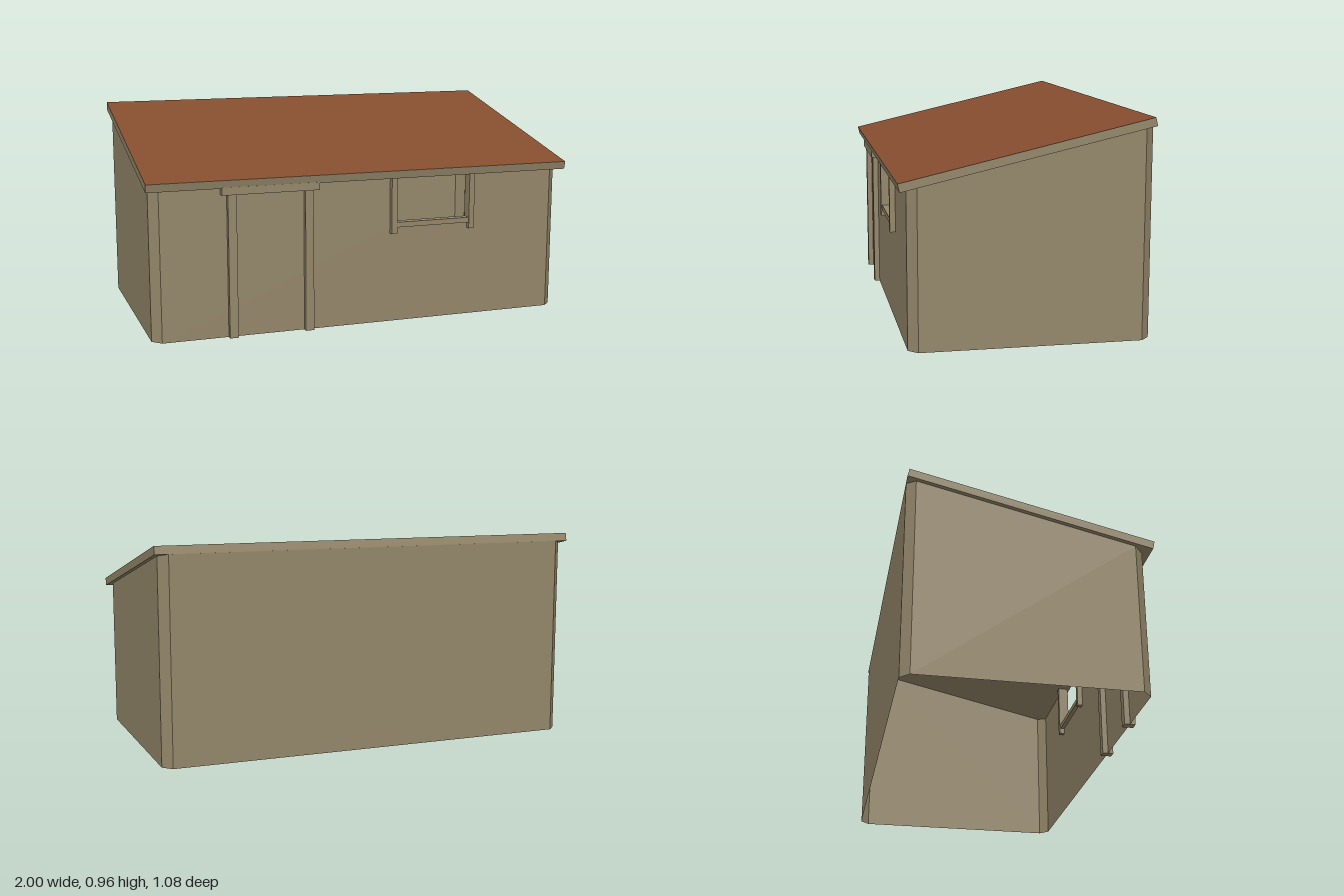
import * as THREE from 'three';

export function createModel() {
  const model = new THREE.Group();
  const plaster = new THREE.MeshStandardMaterial({ name: 'plaster', color: 0x94876a, side: THREE.DoubleSide });
  const roofRed = new THREE.MeshStandardMaterial({ name: 'roofRed', color: 0x854d2f });

  function add(name, geometry, material = plaster) {
    const mesh = new THREE.Mesh(geometry, material);
    mesh.name = name;
    model.add(mesh);
    return mesh;
  }

  // Box given by its limits on each axis
  function block(name, x0, x1, y0, y1, z0, z1) {
    add(name, new THREE.BoxGeometry(x1 - x0, y1 - y0, z1 - z0))
      .position.set((x0 + x1) / 2, (y0 + y1) / 2, (z0 + z1) / 2);
  }

  // Height of the roof underside at depth z
  const eave = (z) => 0.676 + (0.535 - z) * 0.228;

  // Upright wall panel between two plan points, cut along the roof slope
  function wall(name, [x0, z0], [x1, z1]) {
    const g = new THREE.BufferGeometry();
    g.setAttribute('position', new THREE.Float32BufferAttribute(
      [x0, 0, z0, x1, 0, z1, x1, eave(z1), z1, x0, eave(z0), z0], 3));
    g.setIndex([0, 1, 2, 0, 2, 3]);
    g.computeVertexNormals();
    add(name, g);
  }

  // Side, back and bevelled corner walls
  wall('backWall', [0.94, -0.54], [-0.94, -0.54]);
  wall('leftWall', [0.98, 0.46], [0.98, -0.5]);
  wall('rightWall', [-0.98, -0.5], [-0.98, 0.46]);
  wall('frontLeftCorner', [0.94, 0.5], [0.98, 0.46]);
  wall('frontRightCorner', [-0.98, 0.46], [-0.94, 0.5]);
  wall('backLeftCorner', [0.98, -0.5], [0.94, -0.54]);
  wall('backRightCorner', [-0.94, -0.54], [-0.98, -0.5]);

  // Front wall, notched from the top for the window
  const top = eave(0.5);
  const outline = [[-0.94, 0], [0.94, 0], [0.94, top], [0.515, top], [0.515, 0.46],
    [0.145, 0.46], [0.145, top], [-0.94, top]];
  const front = new THREE.ShapeGeometry(new THREE.Shape(outline.map((p) => new THREE.Vector2(...p))));
  add('frontWall', front.translate(0, 0, 0.5));

  // Door frame
  block('doorJambRight', -0.642, -0.603, 0, 0.66, 0.475, 0.525);
  block('doorJambLeft', -0.29, -0.251, 0, 0.66, 0.475, 0.525);
  block('doorLintel', -0.67, -0.225, 0.645, 0.68, 0.472, 0.534);

  // Window frame
  block('windowPostRight', 0.122, 0.15, 0.418, 0.682, 0.475, 0.525);
  block('windowPostLeft', 0.509, 0.535, 0.418, 0.682, 0.475, 0.525);
  block('windowSill', 0.15, 0.509, 0.446, 0.47, 0.48, 0.52);

  // Sloping roof slab with a red upper face
  const roof = add('roof', new THREE.BoxGeometry(2, 0.037, 1.1),
    [plaster, plaster, roofRed, plaster, plaster, plaster]);
  roof.position.set(0, 0.816, 0);
  roof.rotation.x = Math.atan(0.228);

  return model;
}
